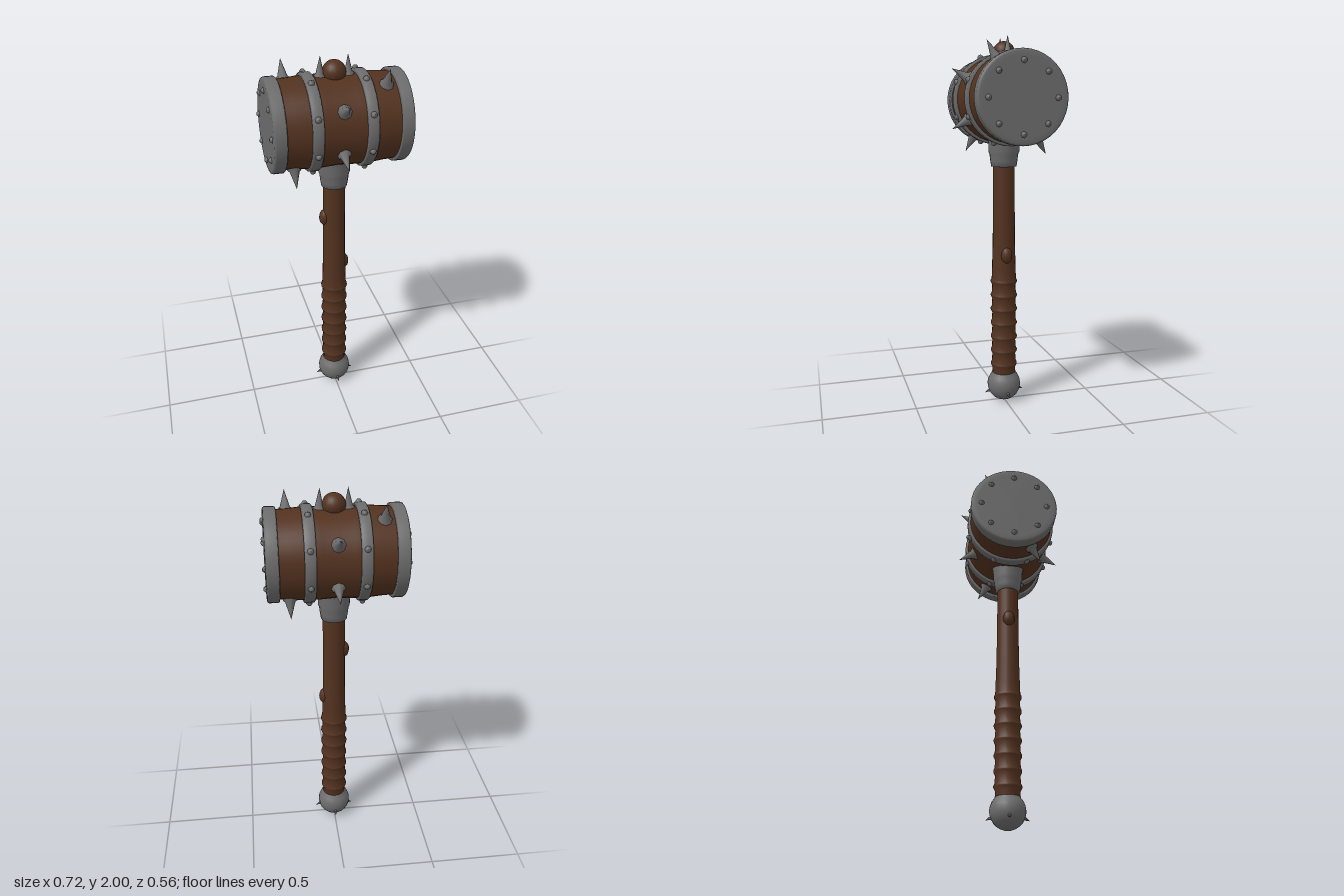
import * as THREE from 'three';

const HEAD_Y = 1.675;
const UP = new THREE.Vector3(0, 1, 0);

export function createModel() {
  const model = new THREE.Group();
  model.name = 'spikedWarHammer';

  const wood = new THREE.MeshStandardMaterial({ color: 0x53321f });
  wood.name = 'dark brown wood';
  const iron = new THREE.MeshStandardMaterial({ color: 0x6c6c6c });
  iron.name = 'grey iron';

  const lathe = (points, segments) =>
    new THREE.LatheGeometry(points.map(([r, y]) => new THREE.Vector2(r, y)), segments);

  function add(name, geometry, material, parent = model) {
    const mesh = new THREE.Mesh(geometry, material);
    mesh.name = name;
    parent.add(mesh);
    return mesh;
  }

  // Places a part so that its own y axis points along a direction
  function addAlong(name, geometry, material, position, direction, parent = model) {
    const mesh = add(name, geometry, material, parent);
    mesh.position.set(...position);
    mesh.quaternion.setFromUnitVectors(UP, new THREE.Vector3(...direction).normalize());
    return mesh;
  }

  // Handle, with a ridged grip on its lower part
  const handlePoints = [[0.062, 0.13]];
  for (let i = 0; i < 7; i++) {
    const y = 0.215 + i * 0.079;
    handlePoints.push([0.064, y - 0.022], [0.073, y - 0.004], [0.073, y + 0.004], [0.067, y + 0.016]);
  }
  handlePoints.push([0.065, 0.76], [0.061, 0.9], [0.059, 1.15], [0.059, 1.36]);
  add('handle', lathe(handlePoints, 20), wood);

  // Knots in the handle wood
  for (const [x, y] of [[-0.05, 1.13], [0.05, 0.84]]) {
    const knot = add('handleKnot', new THREE.SphereGeometry(0.032, 12, 10), wood);
    knot.position.set(x, y, 0);
    knot.scale.y = 1.45;
  }

  // Domed end of the handle above the head
  const knob = add('handleTop', new THREE.SphereGeometry(0.059, 20, 14), wood);
  knob.position.y = 1.916;

  // Collar under the head
  add('collar', lathe([
    [0.055, 1.318], [0.068, 1.32], [0.073, 1.35], [0.077, 1.385],
    [0.083, 1.40], [0.083, 1.44], [0.09, 1.48],
  ], 20), iron);

  // Pommel: a ball with a short rim, and small spikes around it
  const pommel = [[0, 0.003]];
  for (let i = 1; i <= 10; i++) {
    const a = -Math.PI / 2 + (i / 10) * 2.35;
    pommel.push([0.092 * Math.cos(a), 0.095 + 0.092 * Math.sin(a)]);
  }
  pommel.push([0.067, 0.164], [0.055, 0.166]);
  add('pommel', lathe(pommel, 20), iron);
  const pommelSpike = new THREE.ConeGeometry(0.016, 0.05, 7);
  for (let i = 0; i < 4; i++) {
    const a = (i * Math.PI) / 2;
    const d = [Math.cos(a), -0.45, Math.sin(a)];
    addAlong('pommelSpike', pommelSpike, iron, [d[0] * 0.088, 0.06, d[2] * 0.088], d);
  }

  // Hammer head, lying along x
  const head = new THREE.Group();
  head.name = 'head';
  head.position.y = HEAD_Y;
  model.add(head);

  const barrel = add('barrel', lathe([
    [0.219, -0.3], [0.222, -0.23], [0.229, -0.15], [0.228, -0.08], [0.223, 0],
    [0.228, 0.08], [0.229, 0.15], [0.222, 0.23], [0.219, 0.3],
  ], 40), wood, head);
  barrel.rotation.z = -Math.PI / 2;

  const capShape = lathe([
    [0.2, 0.279], [0.23, 0.28], [0.235, 0.285], [0.235, 0.333], [0.231, 0.341],
    [0.222, 0.344], [0.2, 0.345], [0, 0.345],
  ], 40);
  const bandShape = lathe([
    [0.215, -0.028], [0.236, -0.028], [0.242, -0.022], [0.243, 0],
    [0.242, 0.022], [0.236, 0.028], [0.215, 0.028],
  ], 40);
  const stud = lathe([[0.017, -0.006], [0.016, 0.003], [0.008, 0.014], [0, 0.015]], 7);

  for (const side of [-1, 1]) {
    const cap = add('endCap', capShape, iron, head);
    cap.rotation.z = -side * Math.PI / 2;

    const band = add('band', bandShape, iron, head);
    band.rotation.z = -Math.PI / 2;
    band.position.x = side * 0.134;

    // Eight studs on each end and eight around each band
    for (let i = 0; i < 8; i++) {
      const a = (i * Math.PI) / 4;
      addAlong('capStud', stud, iron,
        [side * 0.343, 0.178 * Math.cos(a), 0.178 * Math.sin(a)], [side, 0, 0], head);
      const b = a + Math.PI / 8;
      const d = [0, Math.cos(b), Math.sin(b)];
      addAlong('bandStud', stud, iron,
        [side * 0.134, d[1] * 0.243, d[2] * 0.243], d, head);
    }
  }

  // Long spikes with a flared foot: [x, angle up from +z in degrees]
  const spike = lathe([
    [0.039, 0], [0.035, 0.019], [0.025, 0.027], [0.013, 0.068], [0, 0.113],
  ], 8);
  const spikes = [
    [0, 29], [0, -29], [0, 151], [0, 209],
    [0.23, 61], [-0.23, 119], [-0.23, -61], [0.23, 241],
  ];
  for (const [x, degrees] of spikes) {
    const a = THREE.MathUtils.degToRad(degrees);
    const d = [0, Math.sin(a), Math.cos(a)];
    addAlong('spike', spike, iron, [x, d[1] * 0.208, d[2] * 0.208], d, head);
  }

  // Two upright spikes beside the handle top
  for (const side of [-1, 1]) {
    const top = addAlong('topSpike', spike, iron, [side * 0.072, 0.212, 0], [-side * 0.03, 1, 0], head);
    top.scale.set(0.8, 1, 0.8);
  }

  return model;
}
